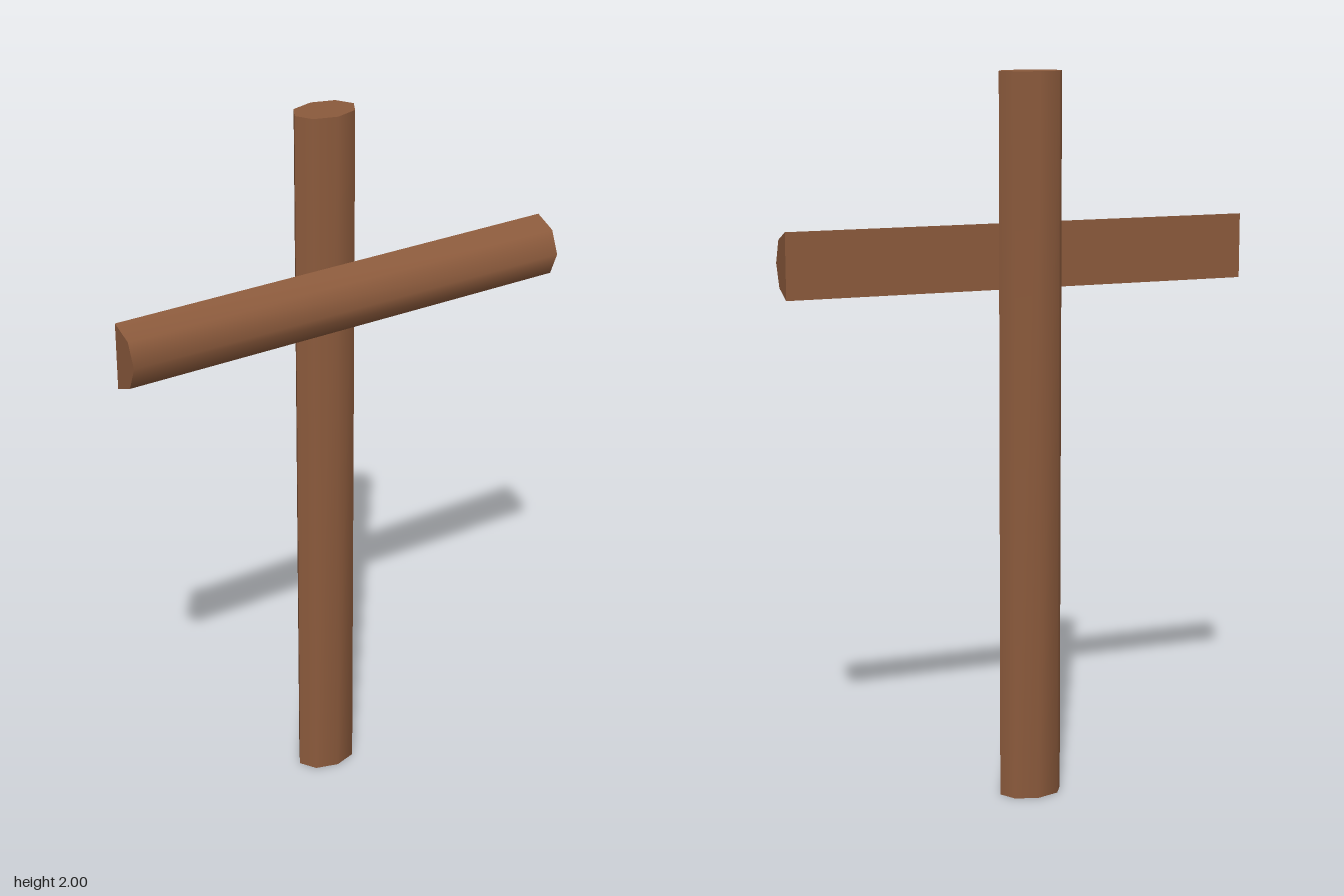
import * as THREE from 'three';

const RADIUS = 0.09;

// Half of an eight-sided log, bulging towards +z, with smooth sides and closed ends
function halfLog(length, depth) {
  const geo = new THREE.CylinderGeometry(RADIUS, RADIUS, length, 4, 1, false, -Math.PI / 2, Math.PI);
  geo.scale(1, 1, depth / RADIUS);
  geo.computeVertexNormals();
  return geo;
}

export function createModel() {
  const wood = new THREE.MeshStandardMaterial({ color: 0x8b5a3c });
  wood.name = 'brown wood';
  const model = new THREE.Group();
  model.name = 'woodenCross';

  // Upright post: front and back halves meeting in a crease at the sides
  const post = new THREE.Group();
  post.name = 'post';
  post.position.set(0, 1, -0.045);
  for (const [name, turn] of [['postFront', 0], ['postBack', Math.PI]]) {
    const half = new THREE.Mesh(halfLog(2, 0.065), wood);
    half.name = name;
    half.rotation.y = turn;
    post.add(half);
  }
  model.add(post);

  // Crossbar: a split log lying against the front of the post
  const crossbar = new THREE.Group();
  crossbar.name = 'crossbar';
  crossbar.position.set(0, 1.503, 0.02);
  const round = new THREE.Mesh(halfLog(1.32, 0.09), wood);
  round.name = 'crossbarRoundFront';
  round.rotation.z = Math.PI / 2;
  const back = new THREE.Mesh(new THREE.PlaneGeometry(1.32, 2 * RADIUS), wood);
  back.name = 'crossbarFlatBack';
  back.rotation.y = Math.PI;
  crossbar.add(round, back);
  model.add(crossbar);

  return model;
}
